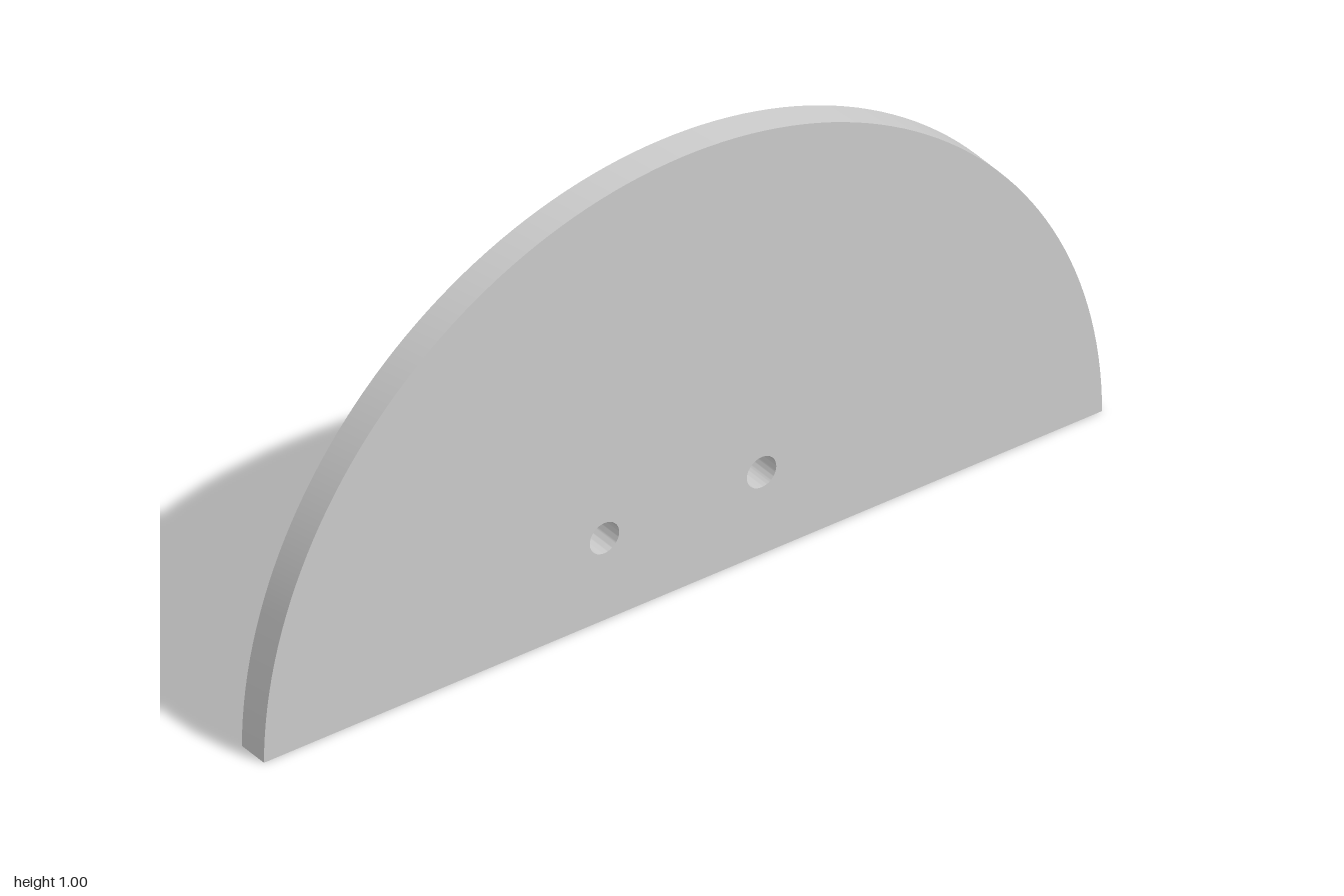
import * as THREE from 'three';
import { toCreasedNormals } from 'three/addons/utils/BufferGeometryUtils.js';

const RADIUS = 1;
const THICKNESS = 0.071;
const HOLE = { x: 0.1875, y: 0.19, radius: 0.035 };

export function createModel() {
  const model = new THREE.Group();
  model.name = 'halfDisc';

  // Half-round outline, closed along the flat bottom edge
  const outline = new THREE.Shape();
  outline.absarc(0, 0, RADIUS, 0, Math.PI, false);
  outline.closePath();

  // Pair of mirrored through holes
  for (const side of [-1, 1]) {
    const hole = new THREE.Path();
    hole.absarc(side * HOLE.x, HOLE.y, HOLE.radius, 0, Math.PI * 2, true);
    outline.holes.push(hole);
  }

  // Plate with a smooth rim and sharp edges
  const geometry = new THREE.ExtrudeGeometry(outline, {
    depth: THICKNESS,
    bevelEnabled: false,
    curveSegments: 48,
  });
  geometry.translate(0, 0, -THICKNESS / 2);

  const plate = new THREE.Mesh(
    toCreasedNormals(geometry, Math.PI / 6),
    new THREE.MeshStandardMaterial({ color: 0xcccccc })
  );
  plate.name = 'plate';
  model.add(plate);
  return model;
}
